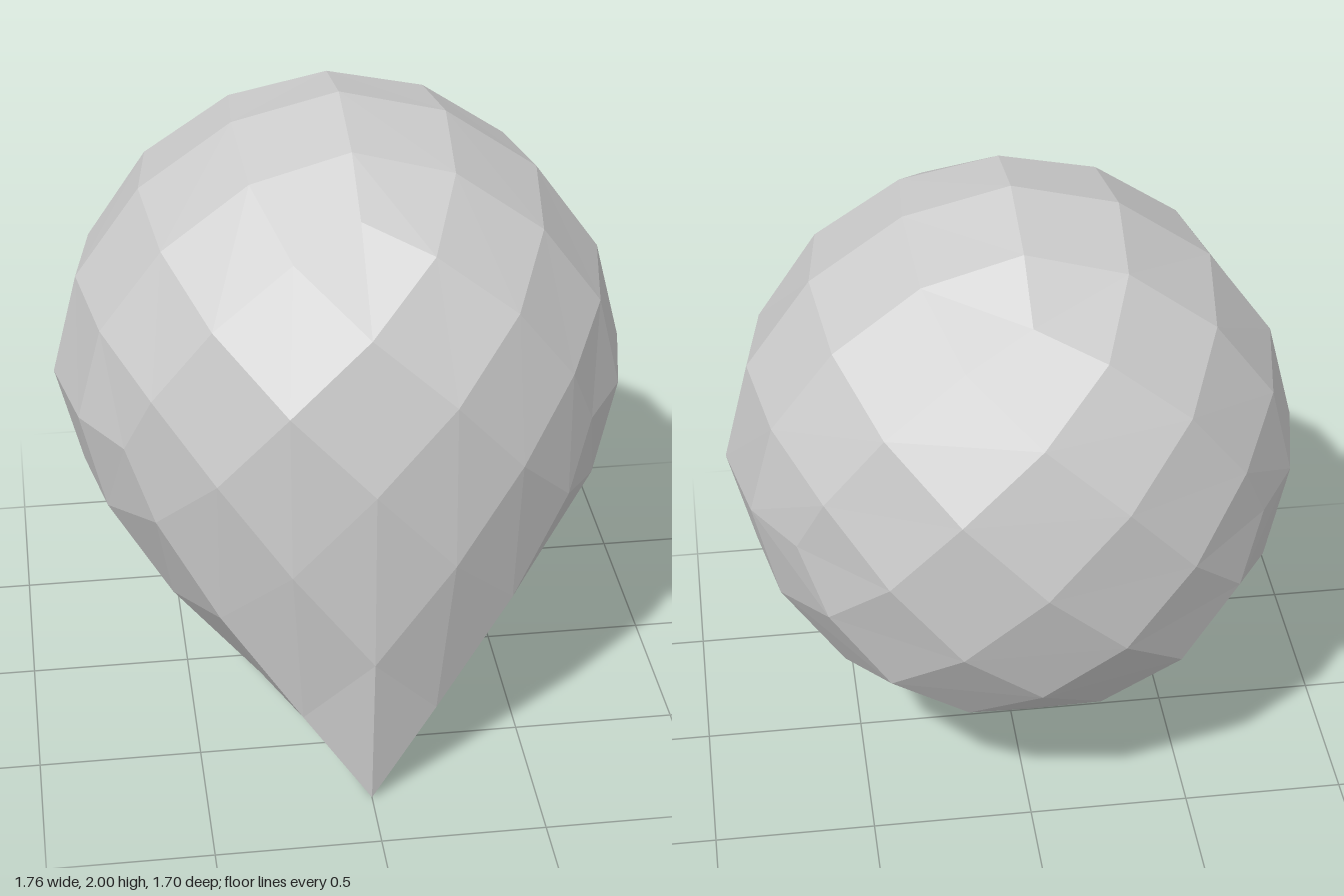
import * as THREE from 'three';

// Rounded-cube coordinates on a 4x4 grid per side, keyed by the size of the
// coordinate (2 = outer, 1 = half way) and the two others, larger first.
const ROUNDED = {
  2: { '00': 0.850, '10': 0.792, '11': 0.739, '20': 0.622, '21': 0.579, '22': 0.492 },
  1: { '20': 0.339, '21': 0.315, '22': 0.292 },
};

function round(value, p, q) {
  const size = Math.abs(value);
  if (size === 0) return 0;
  const others = [Math.abs(p), Math.abs(q)].sort().reverse().join('');
  return Math.sign(value) * ROUNDED[size][others];
}

export function createModel() {
  const model = new THREE.Group();
  model.name = 'pointedBall';

  const geometry = new THREE.BoxGeometry(4, 4, 4, 4, 4, 4);
  const pos = geometry.attributes.position;

  // Swell the box into a ball
  for (let i = 0; i < pos.count; i++) {
    const [x, y, z] = [pos.getX(i), pos.getY(i), pos.getZ(i)].map(Math.round);
    pos.setXYZ(i, round(x, y, z), round(y, x, z), round(z, x, y));
  }

  // Stand it on an edge
  geometry.rotateZ(Math.PI / 4);
  geometry.translate(0, 1.12, 0);

  // Pull the lower front corner into a point, with a sharp falloff around it
  const corner = new THREE.Vector3(0, 1.12 - 0.492 * Math.SQRT2, 0.492);
  const pull = new THREE.Vector3(0, -corner.y, 0.298);
  const reach = 0.85;
  const v = new THREE.Vector3();
  for (let i = 0; i < pos.count; i++) {
    v.fromBufferAttribute(pos, i);
    const t = Math.max(0, 1 - v.distanceTo(corner) / reach);
    v.addScaledVector(pull, t * t);
    pos.setXYZ(i, v.x, v.y, v.z);
  }
  geometry.computeVertexNormals();

  const body = new THREE.Mesh(
    geometry,
    new THREE.MeshStandardMaterial({ color: 0xcccccc, flatShading: true })
  );
  body.name = 'body';
  model.add(body);
  return model;
}
